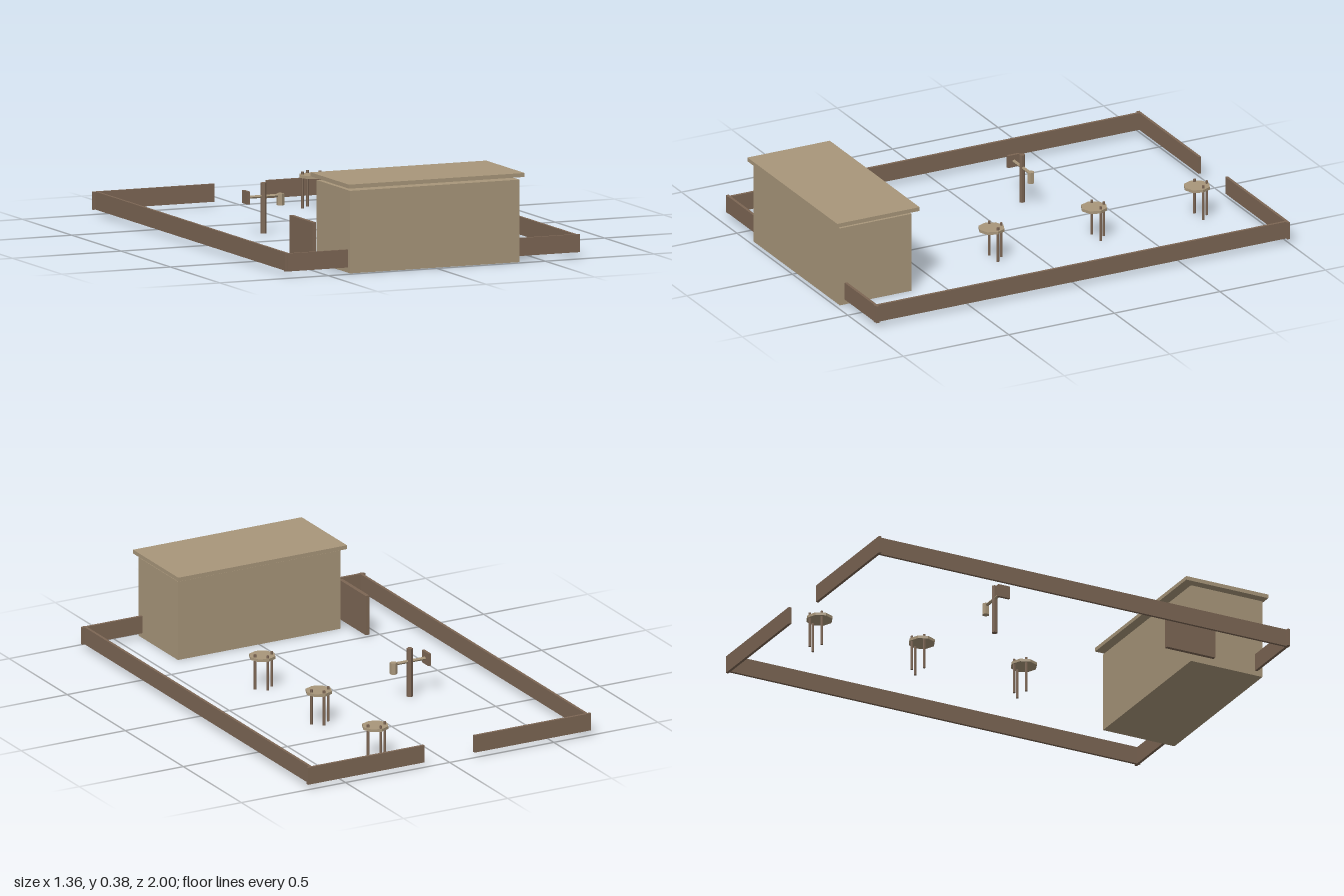
import * as THREE from 'three';

const tan = new THREE.MeshStandardMaterial({ color: 0xa8967a, flatShading: true });
tan.name = 'tan';
const brown = new THREE.MeshStandardMaterial({ color: 0x7c6654, flatShading: true });
brown.name = 'brown';

function add(parent, name, geometry, material, x, y, z) {
  const mesh = new THREE.Mesh(geometry, material);
  mesh.name = name;
  mesh.position.set(x, y, z);
  parent.add(mesh);
  return mesh;
}

// Box given by its lower and upper corners
function box(parent, name, material, [x0, y0, z0], [x1, y1, z1]) {
  return add(parent, name, new THREE.BoxGeometry(x1 - x0, y1 - y0, z1 - z0), material,
    (x0 + x1) / 2, (y0 + y1) / 2, (z0 + z1) / 2);
}

// Upright cylinder between two heights
function post(parent, name, material, r, sides, x, z, y0, y1) {
  return add(parent, name, new THREE.CylinderGeometry(r, r, y1 - y0, sides), material, x, (y0 + y1) / 2, z);
}

function createStool(z) {
  const stool = new THREE.Group();
  stool.name = 'stool';
  stool.position.set(0.24, 0, z);
  post(stool, 'seat', tan, 0.057, 8, 0, 0, 0.131, 0.143);
  // Three legs poke through the seat
  for (const [x, lz] of [[-0.04, -0.01], [0.04, -0.01], [0, -0.047]]) {
    post(stool, 'leg', brown, 0.006, 6, x, lz, 0, 0.155);
  }
  return stool;
}

function createStand() {
  const stand = new THREE.Group();
  stand.name = 'stand';
  stand.position.set(-0.245, 0, -0.217);
  post(stand, 'standPost', brown, 0.013, 6, 0, 0, 0, 0.215);
  const arm = add(stand, 'crossArm', new THREE.CylinderGeometry(0.007, 0.007, 0.16, 6), tan, 0, 0.157, 0);
  arm.rotation.z = Math.PI / 2;
  box(stand, 'targetPlate', brown, [-0.086, 0.13, -0.028], [-0.074, 0.185, 0.028]);
  post(stand, 'weight', tan, 0.016, 6, 0.078, 0, 0.115, 0.165);
  return stand;
}

export function createModel() {
  const model = new THREE.Group();
  model.name = 'fencedYard';

  // Hut with a flat roof floating just above the walls
  box(model, 'hut', tan, [-0.39, 0, 0.64], [0.39, 0.35, 0.98]);
  box(model, 'roof', tan, [-0.405, 0.363, 0.61], [0.405, 0.38, 1]);
  box(model, 'doorBoard', brown, [-0.448, 0.01, 0.495], [-0.431, 0.185, 0.725]);

  // Low fence, mirrored left and right, with a gap at the back
  for (const s of [-1, 1]) {
    const [a, b] = s < 0 ? [-0.68, -0.12] : [0.12, 0.68];
    box(model, 'sideFence', brown, [s * 0.662 - 0.006, 0.022, -1], [s * 0.662 + 0.006, 0.098, 0.96]);
    box(model, 'backFence', brown, [a, 0.022, -1], [b, 0.098, -0.988]);
    box(model, 'frontFence', brown, [a, 0.022, 0.945], [b, 0.098, 0.957]);
  }

  for (const z of [-0.79, -0.303, 0.183]) model.add(createStool(z));
  model.add(createStand());
  return model;
}
